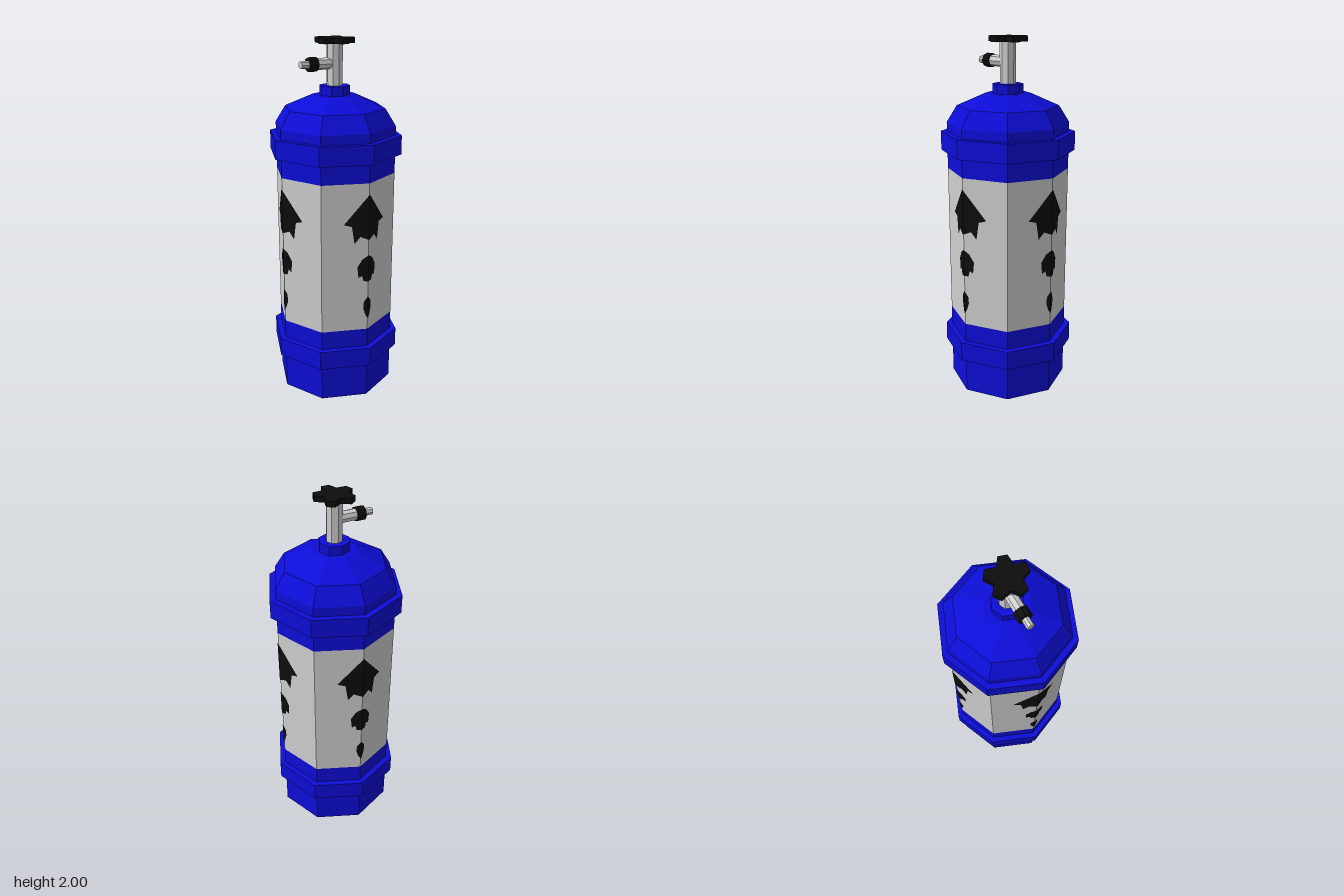
import * as THREE from 'three';

const SIDES = 8;

export function createModel() {
  const flat = (name, color) => {
    const m = new THREE.MeshStandardMaterial({ color, flatShading: true });
    m.name = name;
    return m;
  };
  const blue = flat('blue', 0x0d0dd8);
  const grey = flat('light grey', 0xcfcfcf);
  const black = flat('black', 0x0d0d0d);

  const model = new THREE.Group();
  model.name = 'gasCylinder';
  const add = (name, geometry, material, parent = model) => {
    const mesh = new THREE.Mesh(geometry, material);
    mesh.name = name;
    parent.add(mesh);
    return mesh;
  };
  // Octagonal shell from [radius, height] pairs, bottom to top
  const shell = (points) =>
    new THREE.LatheGeometry(points.map(([r, y]) => new THREE.Vector2(r, y)), SIDES);

  // Tank body
  add('lowerTank', shell([
    [0, 0], [0.338, 0], [0.338, 0.21], [0.372, 0.21], [0.372, 0.32], [0.338, 0.32], [0.338, 0.428],
  ]), blue);
  add('middleBand', shell([[0.338, 0.428], [0.338, 1.28]]), grey);
  add('upperTank', shell([
    [0.338, 1.28], [0.338, 1.385], [0.372, 1.385], [0.372, 1.49], [0.338, 1.49],
    [0.338, 1.54], [0.28, 1.632], [0.122, 1.7], [0, 1.7],
  ]), blue);
  add('neck', shell([[0.084, 1.695], [0.084, 1.75], [0, 1.75]]), blue);

  // Valve stem and side outlet
  add('valveStem', new THREE.CylinderGeometry(0.044, 0.044, 0.235, SIDES).translate(0, 1.8575, 0), grey);
  const outlet = new THREE.Group();
  outlet.name = 'sideOutlet';
  outlet.position.y = 1.866;
  model.add(outlet);
  const pipe = (name, radius, x0, x1, material) =>
    add(name, new THREE.CylinderGeometry(radius, radius, x1 - x0, SIDES)
      .rotateZ(Math.PI / 2).translate((x0 + x1) / 2, 0, 0), material, outlet);
  pipe('outletPipe', 0.031, -0.12, 0, grey);
  pipe('outletCollar', 0.038, -0.165, -0.117, black);
  pipe('outletNozzle', 0.02, -0.212, -0.16, grey);

  // Five-lobed handle: two corners per lobe, one notch between lobes
  const star = [];
  for (let i = 0; i < 5; i++) {
    const lobe = i * Math.PI * 2 / 5;
    for (const [turn, r] of [[-0.21, 0.107], [0.21, 0.107], [Math.PI / 5, 0.068]]) {
      star.push(new THREE.Vector2(r * Math.sin(lobe + turn), -r * Math.cos(lobe + turn)));
    }
  }
  add('handle', new THREE.ExtrudeGeometry(new THREE.Shape(star), { depth: 0.03, bevelEnabled: false })
    .rotateX(-Math.PI / 2).translate(0, 1.97, 0), black);

  // Half outlines of the three marks, folded round each quarter-turn edge
  const marks = {
    largeArrow: [[0, 1.22], [0.128, 1.058], [0.088, 1.045], [0.074, 0.947], [0.045, 0.985], [0, 0.965]],
    mediumArrow: [[0, 0.877], [0.032, 0.855], [0.058, 0.81], [0.052, 0.745], [0.034, 0.757], [0.026, 0.725], [0, 0.722]],
    smallDrop: [[0, 0.632], [0.022, 0.6], [0.025, 0.56], [0.014, 0.52], [0, 0.495]],
  };
  const slope = Math.tan(Math.PI / 8);
  for (let q = 0; q < 4; q++) {
    const column = new THREE.Group();
    column.name = 'markColumn';
    column.rotation.y = q * Math.PI / 2;
    model.add(column);
    for (const [name, outline] of Object.entries(marks)) {
      for (const side of [-1, 1]) {
        const half = new THREE.Shape(outline.map(([x, y]) => new THREE.Vector2(side * x, y)));
        const geometry = new THREE.ShapeGeometry(half);
        const pos = geometry.attributes.position;
        for (let i = 0; i < pos.count; i++) {
          pos.setZ(i, 0.342 - Math.abs(pos.getX(i)) * slope);
        }
        geometry.computeVertexNormals();
        add(name, geometry, black, column);
      }
    }
  }
  return model;
}
